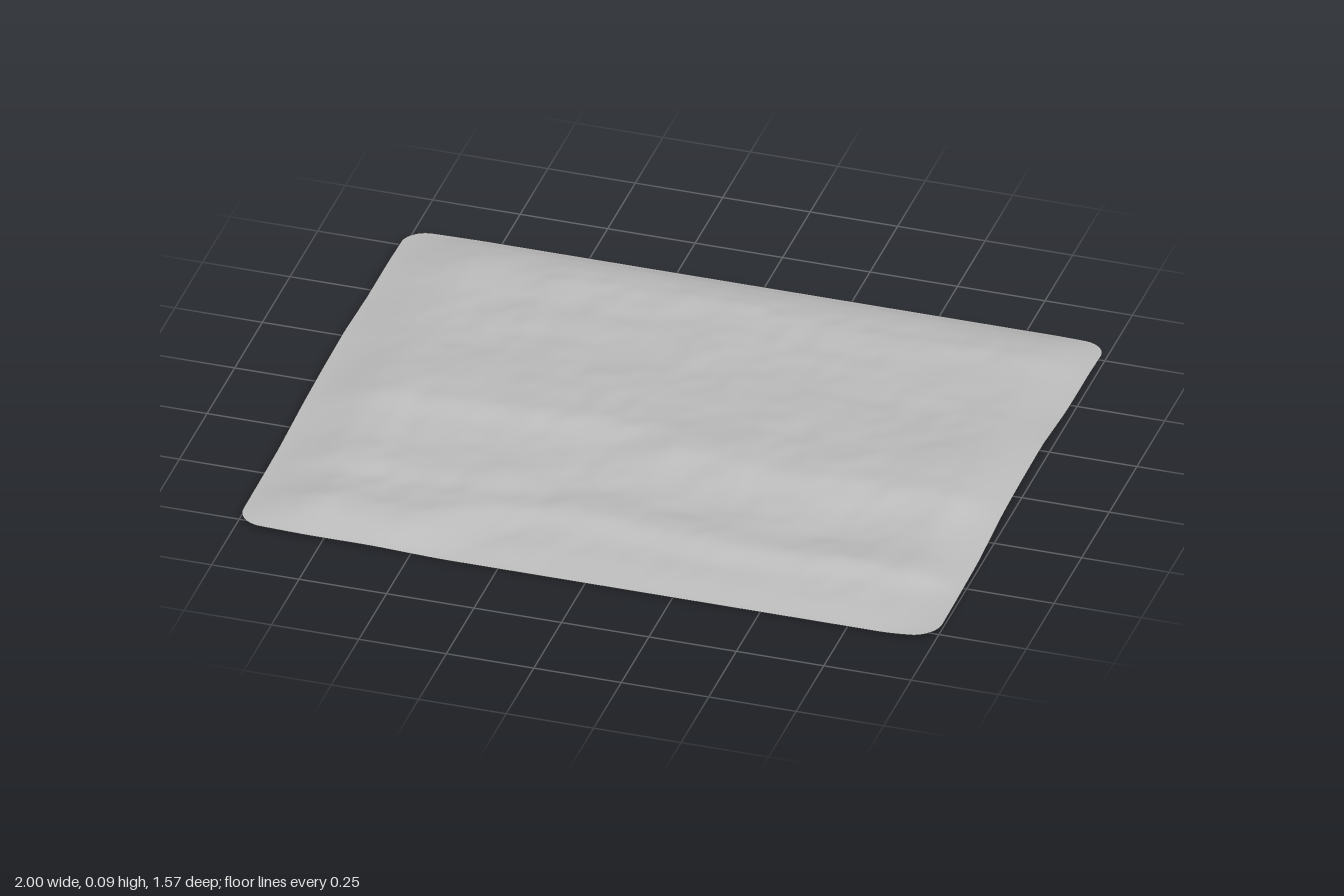
import * as THREE from 'three';

const HALF_X = 1, HALF_Z = 0.785, CORNER = 0.07, COLS = 150, ROWS = 120;

// Height profiles as [z, y] pairs, from back to front
const BACK = [[-0.785, 0.037], [-0.74, 0.055], [-0.68, 0.068], [-0.6, 0.076], [-0.5, 0.07],
  [-0.3, 0.07], [-0.2, 0.074], [-0.1, 0.08]];
const RIGHT = [...BACK, [0, 0.087], [0.1, 0.091], [0.18, 0.091], [0.28, 0.062], [0.35, 0.051],
  [0.42, 0.05], [0.48, 0.055], [0.54, 0.057], [0.6, 0.035], [0.7, 0.021], [0.785, 0.004]];
const LEFT = [...BACK, [0, 0.084], [0.1, 0.085], [0.18, 0.066], [0.28, 0.058], [0.36, 0.06],
  [0.42, 0.059], [0.48, 0.046], [0.55, 0.048], [0.62, 0.055], [0.68, 0.047], [0.73, 0.031], [0.785, 0.01]];
const SIDE = [[-0.785, 0.035], [-0.6, 0.042], [-0.4, 0.042], [-0.2, 0.052], [0, 0.047],
  [0.2, 0.038], [0.4, 0.023], [0.6, 0.019], [0.785, 0.017]];

const smooth = THREE.MathUtils.smoothstep;
const lerp = THREE.MathUtils.lerp;

function sample(profile, z) {
  if (z <= profile[0][0]) return profile[0][1];
  for (let i = 1; i < profile.length; i++) {
    const [z0, y0] = profile[i - 1], [z1, y1] = profile[i];
    if (z <= z1) return lerp(y0, y1, (z - z0) / (z1 - z0));
  }
  return profile[profile.length - 1][1];
}

// Softens the joints between profile points
const soft = (p, z) => (sample(p, z - 0.018) + 2 * sample(p, z) + sample(p, z + 0.018)) / 4;

// Seeded value noise, -1 to 1
function hash(i, j) {
  const s = Math.sin(i * 127.1 + j * 311.7) * 43758.5453;
  return (s - Math.floor(s)) * 2 - 1;
}
function noise(x, z) {
  const i = Math.floor(x), j = Math.floor(z);
  const u = smooth(x - i, 0, 1), v = smooth(z - j, 0, 1);
  return lerp(lerp(hash(i, j), hash(i + 1, j), u), lerp(hash(i, j + 1), hash(i + 1, j + 1), u), v);
}

function height(x, z) {
  // The scarps wander a little from side to side
  const inner = smooth(HALF_Z - Math.abs(z), 0, 0.2);
  const shift = inner * (0.02 * Math.sin(x * 5 - 0.6) + 0.012 * noise(x * 7, 3.5));
  const diagonal = -0.24 + (0.44 - z) * 0.8;
  const middle = lerp(soft(LEFT, z - shift), soft(RIGHT, z - shift),
    smooth(x, diagonal - 0.13, diagonal + 0.13));
  // Both sides fall away to the rim
  const side = soft(SIDE, z) + (x > 0 ? 0.01 * smooth(0.5 - Math.abs(z), 0, 0.4) : 0);
  const inset = smooth(HALF_X - Math.abs(x), -0.03, x > 0 ? 0.16 : 0.24);
  // Fine lumps, fading out at the rim
  const calm = smooth(HALF_X - Math.abs(x), 0.05, 0.25) * inner;
  const lumps = 0.0035 * noise(x * 8 + 9, z * 8) + 0.0022 * noise(x * 19, z * 19 + 5);
  return Math.max(0, lerp(side, middle, inset) + lumps * calm);
}

// Grid position from -1..1, with rows closer together near the rim
const spread = (t) => 1.5 * t - 0.5 * t * t * t;

export function createModel() {
  const group = new THREE.Group();
  group.name = 'terrainTile';

  const stone = new THREE.MeshStandardMaterial({ color: 0xbbbbbb, side: THREE.DoubleSide });
  stone.name = 'pale grey';

  // A plane raised by the height rule, its outline rounded at the corners
  const geometry = new THREE.PlaneGeometry(2, 2, COLS, ROWS);
  geometry.rotateX(-Math.PI / 2);
  const pos = geometry.attributes.position;
  for (let i = 0; i < pos.count; i++) {
    const z = HALF_Z * spread(pos.getZ(i));
    const d = Math.min(CORNER, Math.max(0, Math.abs(z) - (HALF_Z - CORNER)));
    const width = HALF_X - CORNER + Math.sqrt(CORNER * CORNER - d * d);
    const x = width * pos.getX(i);
    pos.setXYZ(i, x, height(x, z), z);
  }
  geometry.computeVertexNormals();

  const ground = new THREE.Mesh(geometry, stone);
  ground.name = 'groundSurface';
  group.add(ground);
  return group;
}
